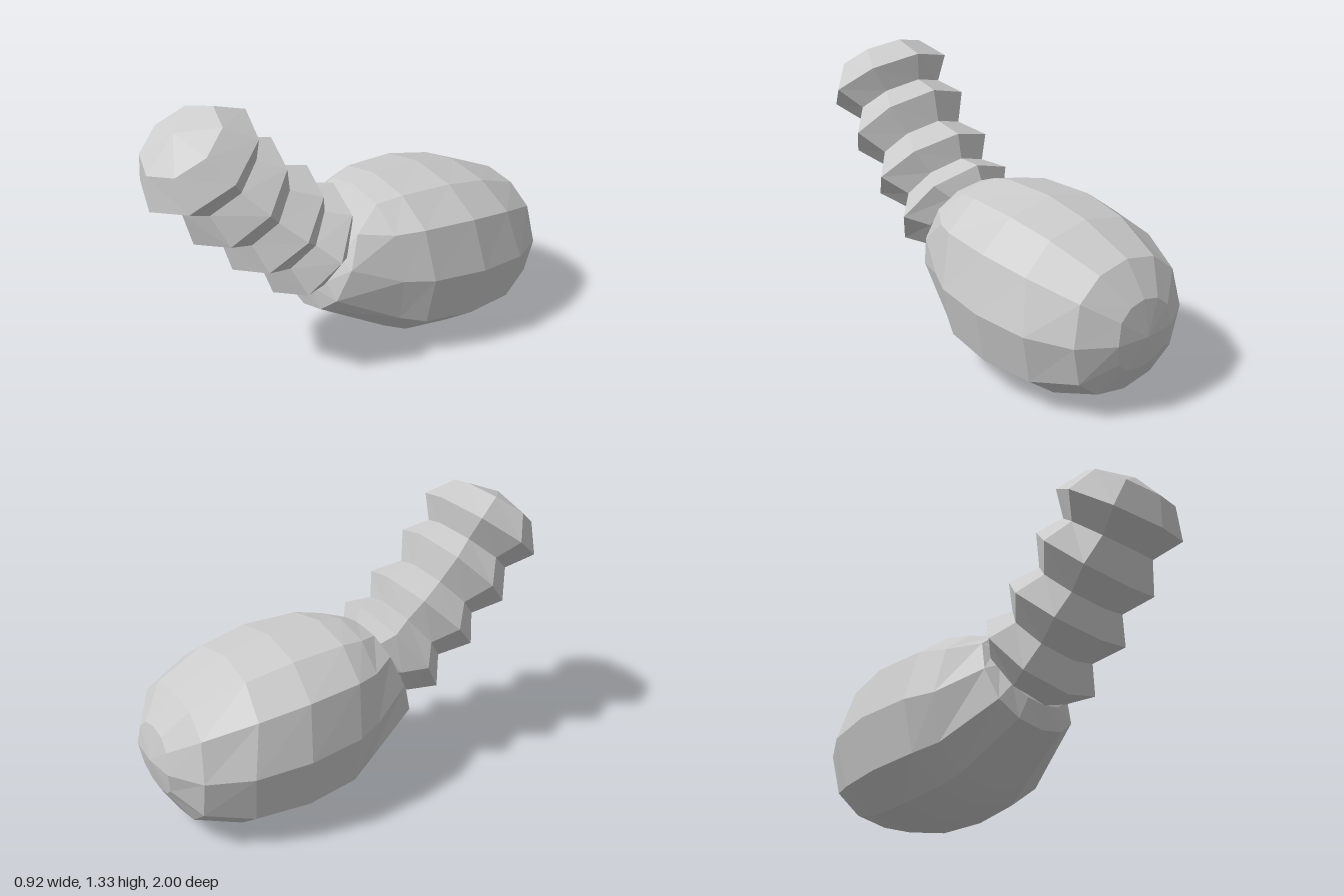
import * as THREE from 'three';

const material = new THREE.MeshStandardMaterial({ color: 0xcccccc, flatShading: true });

// Faceted skin over rings listed front to back.
// Ring: [zBottom, yBottom, zTop, yTop, halfWidth, zBulge]; zero width makes a point.
function loft(name, rings, sides, power) {
  const corner = ([zb, yb, zt, yt, half, bulge = 0], j) => {
    const a = (j / sides) * Math.PI * 2;
    const c = Math.cos(a);
    const up = -Math.sign(c) * Math.abs(c) ** power;
    return [
      Math.sin(a) * half,
      (yb + yt) / 2 + (up * (yt - yb)) / 2,
      (zb + zt) / 2 + (up * (zt - zb)) / 2 + bulge * (1 - Math.abs(up)),
    ];
  };
  const pos = [];
  for (let i = 0; i < rings.length - 1; i++) {
    for (let j = 0; j < sides; j++) {
      const a = corner(rings[i], j), d = corner(rings[i], j + 1);
      const b = corner(rings[i + 1], j), c = corner(rings[i + 1], j + 1);
      if (rings[i + 1][4] > 0) pos.push(...a, ...b, ...c);
      if (rings[i][4] > 0) pos.push(...a, ...c, ...d);
    }
  }
  const geometry = new THREE.BufferGeometry();
  geometry.setAttribute('position', new THREE.Float32BufferAttribute(pos, 3));
  geometry.computeVertexNormals();
  const mesh = new THREE.Mesh(geometry, material);
  mesh.name = name;
  return mesh;
}

export function createModel() {
  const model = new THREE.Group();
  model.name = 'model';

  // Plump egg-shaped body, narrowing to a rim around the stalk
  model.add(loft('body', [
    [0.22, 0.54, 0.22, 0.54, 0],
    [0.28, 0.37, 0.09, 0.72, 0.18],
    [0.26, 0.26, 0.07, 0.765, 0.25],
    [-0.075, 0.075, -0.02, 0.8, 0.36],
    [-0.18, 0.03, -0.14, 0.825, 0.425, -0.02],
    [-0.42, 0.005, -0.4, 0.82, 0.46, -0.04],
    [-0.67, 0.01, -0.62, 0.775, 0.425, -0.06],
    [-0.88, 0.08, -0.866, 0.675, 0.32, -0.02],
    [-0.963, 0.214, -0.97, 0.53, 0.16, -0.02],
    [-1, 0.37, -1, 0.37, 0],
  ], 12, 0.73));

  // Ridged stalk: a pointed cap, then wide and narrow rings in turn
  model.add(loft('ridgedStalk', [
    [0.87, 1.255, 0.87, 1.255, 0],
    [1.0, 1.1, 0.68, 1.33, 0.22],
    [1.0, 0.94, 0.53, 1.285, 0.307],
    [0.855, 0.89, 0.53, 1.16, 0.22],
    [0.81, 0.735, 0.41, 1.13, 0.307],
    [0.657, 0.696, 0.38, 0.985, 0.22],
    [0.63, 0.557, 0.23, 0.955, 0.307],
    [0.464, 0.52, 0.206, 0.84, 0.22],
    [0.426, 0.375, 0.09, 0.835, 0.307],
    [0.28, 0.37, 0.06, 0.766, 0.22],
    [0.1, 0.5, 0.1, 0.5, 0],
  ], 8, 1));

  return model;
}
